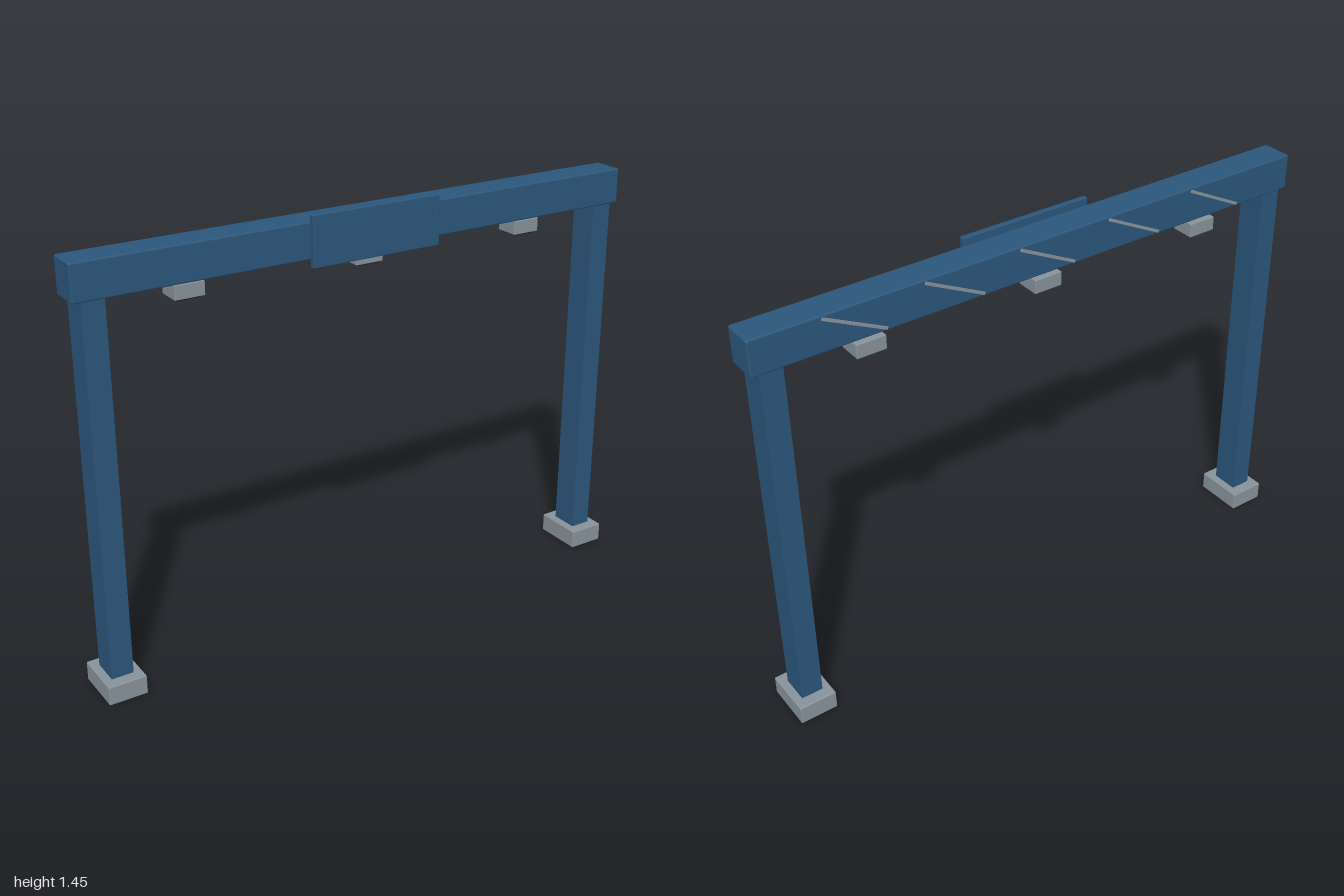
import * as THREE from 'three';
import { RoundedBoxGeometry } from 'three/addons/geometries/RoundedBoxGeometry.js';

const material = (name, color) => {
  const m = new THREE.MeshStandardMaterial({ color });
  m.name = name;
  return m;
};

export function createModel() {
  const model = new THREE.Group();
  model.name = 'gantry';
  const blue = material('blue paint', 0x2b567b);
  const grey = material('grey metal', 0x87929a);
  const dark = material('dark lens', 0x14181a);

  // Box by size and centre; bevel softens the edges
  const box = (parent, name, mat, [w, h, d], [x, y, z], bevel = 0) => {
    const geometry = bevel
      ? new RoundedBoxGeometry(w, h, d, 2, bevel)
      : new THREE.BoxGeometry(w, h, d);
    const mesh = new THREE.Mesh(geometry, mat);
    mesh.name = name;
    mesh.position.set(x, y, z);
    parent.add(mesh);
    return mesh;
  };

  // Columns on footings
  for (const [side, s] of [['left', 1], ['right', -1]]) {
    box(model, `${side}Footing`, grey, [0.13, 0.066, 0.176], [s * 0.935, 0.033, 0], 0.004);
    box(model, `${side}Column`, blue, [0.074, 1.25, 0.098], [s * 0.935, 0.685, 0]);
  }

  // Crossbeam and front sign panel
  box(model, 'crossbeam', blue, [2, 0.12, 0.108], [0, 1.363, 0], 0.006);
  box(model, 'signPanel', blue, [0.465, 0.166, 0.019], [0, 1.363, 0.0635], 0.003);

  // Diagonal strips across the back of the beam
  for (let i = -2; i <= 2; i++) {
    const strip = box(model, 'diagonalStrip', grey, [0.226, 0.009, 0.008], [i * 0.335, 1.363, -0.055]);
    strip.rotation.z = Math.atan2(0.1, 0.2);
  }

  // Hanging lamps: bracket, housing and lens
  for (const x of [-0.625, 0, 0.625]) {
    const lamp = new THREE.Group();
    lamp.name = 'lamp';
    lamp.position.set(x, 0, -0.016);
    box(lamp, 'lampBracket', grey, [0.02, 0.016, 0.02], [0, 1.298, 0]);
    box(lamp, 'lampHousing', grey, [0.1, 0.048, 0.084], [0, 1.27, 0], 0.003);
    box(lamp, 'lampLens', dark, [0.08, 0.006, 0.064], [0, 1.244, 0]);
    model.add(lamp);
  }

  return model;
}
